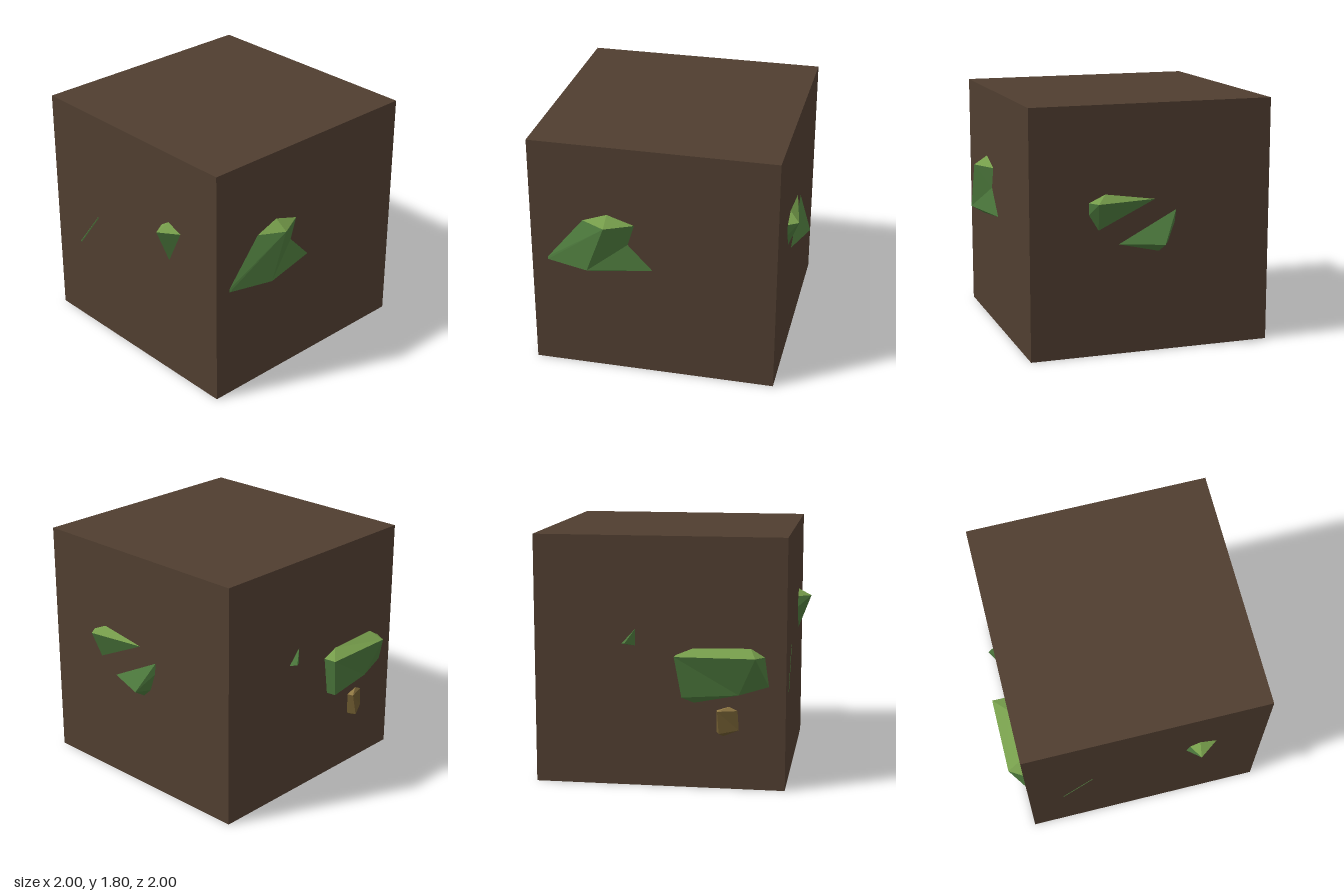
import * as THREE from 'three';

const paint = (color) => new THREE.MeshStandardMaterial({ color, flatShading: true });

// Flat polygons fanned into triangles, each turned to face away from `inside`.
function facets(points, faces, inside) {
  const pos = [];
  for (const face of faces) {
    for (let i = 1; i < face.length - 1; i++) {
      const [a, b, c] = [face[0], face[i], face[i + 1]].map((k) => new THREE.Vector3(...points[k]));
      const n = b.clone().sub(a).cross(c.clone().sub(a));
      const tri = n.dot(a.clone().sub(inside)) < 0 ? [a, c, b] : [a, b, c];
      tri.forEach((v) => pos.push(v.x, v.y, v.z));
    }
  }
  const geo = new THREE.BufferGeometry();
  geo.setAttribute('position', new THREE.Float32BufferAttribute(pos, 3));
  geo.computeVertexNormals();
  return geo;
}

// A faceted clump breaking through a wall: lighter cap on top, darker sides.
function clump(name, points, capFaces, sideFaces, capMat, sideMat) {
  const inside = new THREE.Vector3();
  points.forEach((p) => inside.add(new THREE.Vector3(...p)));
  inside.divideScalar(points.length);
  inside.x *= 0.95;
  inside.z *= 0.95;
  const group = new THREE.Group();
  group.name = name;
  for (const [part, faces, mat] of [['cap', capFaces, capMat], ['sides', sideFaces, sideMat]]) {
    if (!faces.length) continue;
    const mesh = new THREE.Mesh(facets(points, faces, inside), mat);
    mesh.name = name + (part === 'cap' ? 'Cap' : 'Sides');
    group.add(mesh);
  }
  return group;
}

export function createModel() {
  const model = new THREE.Group();
  model.name = 'earthBlock';
  const soil = paint(0x503e30);
  const leaf = paint(0x4c783c);
  const leafTop = paint(0x769d4b);
  const dry = paint(0x6e5a30);
  const dryTop = paint(0x907844);

  // Main block
  const block = new THREE.Mesh(new THREE.BoxGeometry(1.8, 1.8, 1.8), soil);
  block.name = 'soilBlock';
  block.position.y = 0.9;
  model.add(block);

  // Large notched clump on the left (+x) wall
  model.add(clump('leftClump', [
    [0.9, 1.275, 0.33], [0.9, 1.21, 0.51], [1, 1.21, 0.33], [0.9, 1.21, 0.13],
    [0.9, 1.05, 0.18], [0.9, 0.86, 0], [1, 0.86, 0.46], [0.905, 0.86, 0.78],
    [0.9, 0.8, 0.45], [0.9, 0.88, 0.78],
  ], [[0, 1, 2], [0, 2, 3]],
  [[2, 1, 9, 7, 6], [2, 3, 4], [2, 4, 6], [6, 4, 5], [6, 5, 8], [6, 8, 7]], leafTop, leaf));

  // Small pointed clump on the front wall
  model.add(clump('frontClump', [
    [0.405, 1.26, 0.9], [0.33, 1.21, 0.9], [0.39, 1.21, 1], [0.53, 1.21, 0.9],
    [0.405, 0.95, 0.9], [0.305, 1.13, 0.9],
  ], [[0, 1, 2], [0, 2, 3]], [[2, 1, 5], [2, 5, 4], [2, 4, 3]], leafTop, leaf));

  // Thin blade grazing the front wall
  model.add(clump('frontBlade', [
    [-0.645, 0.66, 0.9], [-0.63, 0.66, 0.9], [-0.405, 0.955, 0.9], [-0.405, 0.97, 0.9],
    [-0.635, 0.665, 0.903], [-0.408, 0.962, 0.903],
  ], [], [[0, 4, 5, 3], [1, 2, 5, 4], [0, 1, 4], [2, 3, 5]], leafTop, leaf));

  // Long clump on the right (-x) wall
  model.add(clump('rightClump', [
    [-0.9, 1.01, 0.24], [-0.9, 1.02, 0.65], [-1, 0.965, 0.69], [-1, 0.965, 0.12],
    [-0.9, 0.96, 0.12], [-0.9, 0.96, 0.75], [-0.9, 0.75, 0.78], [-0.93, 0.69, 0.57],
    [-0.97, 0.67, 0.17], [-0.9, 0.67, 0.16], [-0.9, 0.62, 0.25],
  ], [[0, 1, 2, 3], [0, 3, 4], [1, 5, 2]],
  [[3, 2, 7, 8], [2, 6, 7], [2, 5, 6], [4, 3, 8, 9], [8, 7, 10], [7, 6, 10], [9, 8, 10]], leafTop, leaf));

  // Small tip on the right wall
  model.add(clump('rightTip', [
    [-0.945, 1.04, -0.24], [-0.9, 1.14, -0.17], [-0.9, 1.03, -0.27], [-0.9, 1.02, -0.17],
  ], [], [[0, 1, 2], [0, 1, 3], [0, 2, 3]], leafTop, leaf));

  // Dry clump low on the right wall
  model.add(clump('dryClump', [
    [-0.9, 0.6, 0.5], [-0.9, 0.57, 0.41], [-0.945, 0.57, 0.42], [-0.9, 0.57, 0.56],
    [-0.9, 0.43, 0.57], [-0.965, 0.415, 0.435], [-0.9, 0.415, 0.41], [-0.9, 0.385, 0.46],
  ], [[0, 1, 2], [0, 2, 3]],
  [[2, 3, 4, 5], [1, 2, 5, 6], [5, 4, 7], [5, 7, 6]], dryTop, dry));

  // Upper clump on the back wall
  model.add(clump('backUpperClump', [
    [0.35, 1.17, -0.9], [0.47, 1.115, -0.9], [0.42, 1.115, -0.975], [-0.02, 1.115, -0.9],
    [0.4, 0.915, -0.9], [0.47, 1.03, -0.9],
  ], [[0, 1, 2], [0, 2, 3]], [[2, 1, 5], [2, 5, 4], [2, 4, 3]], leafTop, leaf));

  // Lower clump on the back wall
  model.add(clump('backLowerClump', [
    [-0.065, 0.8, -1], [-0.18, 1.03, -0.9], [0.25, 0.805, -0.9], [-0.05, 0.735, -0.9],
    [-0.12, 0.8, -0.9], [-0.17, 0.94, -0.9],
  ], [], [[0, 1, 2], [0, 2, 3], [0, 3, 4], [0, 4, 5], [0, 5, 1]], leafTop, leaf));

  return model;
}
